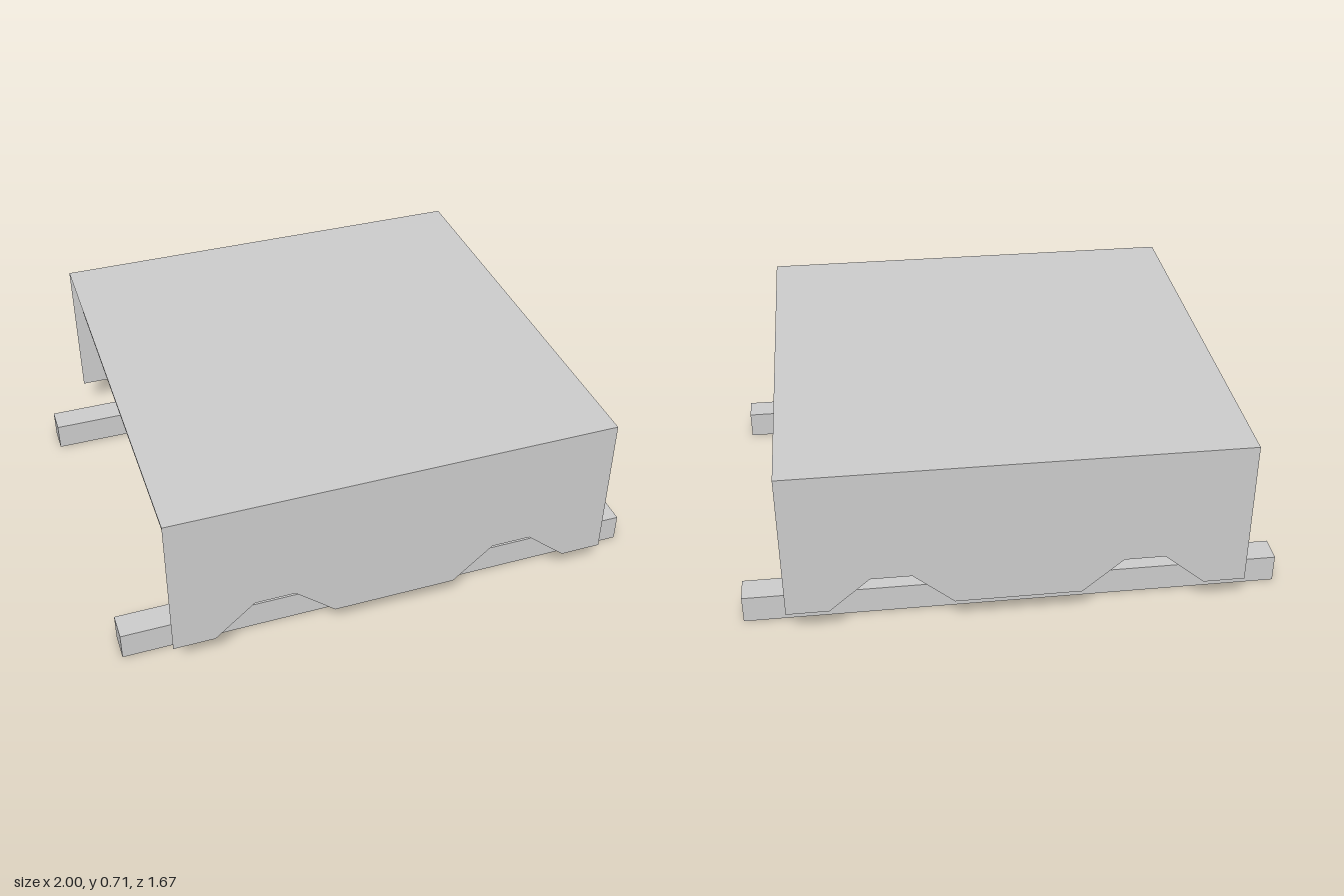
import * as THREE from 'three';

export function createModel() {
  const model = new THREE.Group();
  const solid = new THREE.MeshStandardMaterial({ color: 0xcccccc, flatShading: true });
  const sheet = new THREE.MeshStandardMaterial({ color: 0xcccccc, flatShading: true, side: THREE.DoubleSide });
  const half = 0.837, topY = 0.706, bottomY = 0.132, notchY = 0.262;

  const add = (name, geometry, material, x, y, z) => {
    const mesh = new THREE.Mesh(geometry, material);
    mesh.name = name;
    mesh.position.set(x, y, z);
    model.add(mesh);
    return mesh;
  };

  // Thin cover over the slab
  add('topSheet', new THREE.PlaneGeometry(2 * half, 2 * half), sheet, 0, topY, 0).rotation.x = -Math.PI / 2;

  // Thick slab under the cover
  add('slab', new THREE.BoxGeometry(1.61, 0.152, 1.61), solid, 0, 0.6, 0);

  // Hanging side panel with two trapezoid notches in its lower edge
  const outline = [[-half, topY], [-half, bottomY]];
  for (const cx of [-0.457, 0.457]) {
    outline.push([cx - 0.225, bottomY], [cx - 0.075, notchY], [cx + 0.075, notchY], [cx + 0.225, bottomY]);
  }
  outline.push([half, bottomY], [half, topY]);
  const panel = new THREE.ShapeGeometry(new THREE.Shape(outline.map(([x, y]) => new THREE.Vector2(x, y))));

  // Front and back panels, each with a ground rail
  for (const [side, s] of [['front', 1], ['back', -1]]) {
    add(side + 'Panel', panel, sheet, 0, 0, s * half);
    add(side + 'Rail', new THREE.BoxGeometry(2, 0.106, 0.104), solid, 0, 0.053, s * 0.643);
  }
  return model;
}
